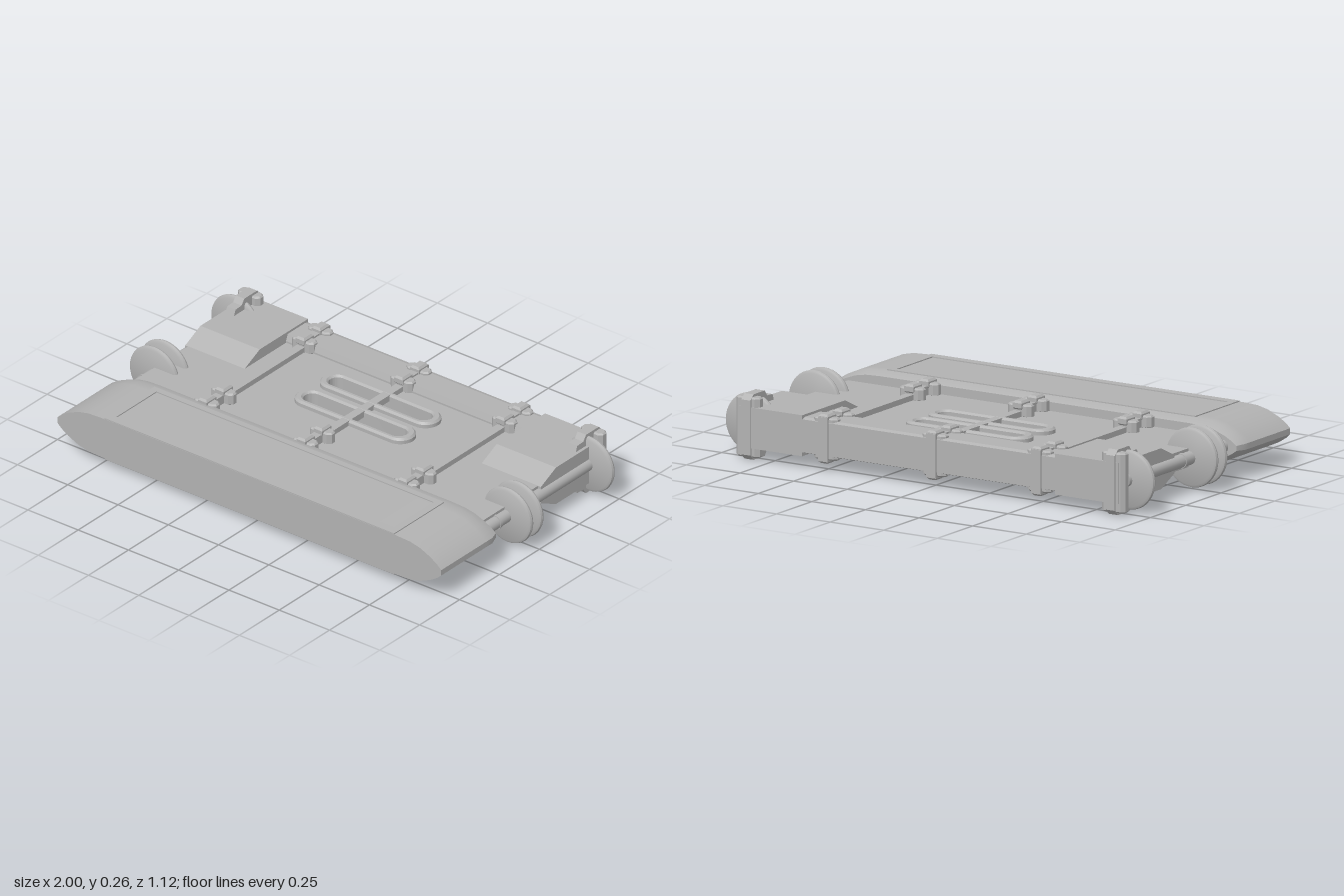
import * as THREE from 'three';
import { toCreasedNormals } from 'three/addons/utils/BufferGeometryUtils.js';

const MID = 0.1375; // height of the horizontal symmetry plane

export function createModel() {
  const model = new THREE.Group();
  const gray = new THREE.MeshStandardMaterial({ color: 0xb2b2b2 });
  gray.name = 'plain gray';

  function add(name, geometry, x = 0, y = 0, z = 0) {
    const mesh = new THREE.Mesh(geometry, gray);
    mesh.name = name;
    mesh.position.set(x, y, z);
    model.add(mesh);
    return mesh;
  }
  const box = (name, x0, x1, y0, y1, z0, z1) =>
    add(name, new THREE.BoxGeometry(x1 - x0, y1 - y0, z1 - z0), (x0 + x1) / 2, (y0 + y1) / 2, (z0 + z1) / 2);
  const polygon = (pts) => new THREE.Shape(pts.map(([a, b]) => new THREE.Vector2(a, b)));

  // Plan outline (x, -z) raised from y0 to y1, with optional chamfer
  function slab(shape, y0, y1, bevel = 0) {
    const g = new THREE.ExtrudeGeometry(shape, {
      depth: y1 - y0 - 2 * bevel, curveSegments: 12, bevelEnabled: bevel > 0,
      bevelSize: bevel, bevelThickness: bevel, bevelOffset: -bevel, bevelSegments: 1,
    });
    g.rotateX(-Math.PI / 2);
    g.translate(0, y0 + bevel, 0);
    return toCreasedNormals(g, 0.5);
  }
  // Side outline (z, y offset from MID) widened along x and centred
  function sideProfile(upper, width) {
    const lower = upper.map(([z, y]) => [z, -y]).reverse();
    const g = new THREE.ExtrudeGeometry(polygon([...upper, ...lower]), { depth: width, bevelEnabled: false });
    g.translate(0, MID, -width / 2);
    g.rotateY(-Math.PI / 2);
    return g;
  }
  // Long slot outline
  function stadium(Type, cx, cy, halfLength, r) {
    const s = new Type(), a = halfLength - r;
    s.absarc(cx + a, cy, r, -Math.PI / 2, Math.PI / 2, false);
    s.absarc(cx - a, cy, r, Math.PI / 2, Math.PI * 1.5, false);
    s.closePath();
    return s;
  }
  const rect = (x0, x1, y0, y1) => polygon([[x0, y0], [x1, y0], [x1, y1], [x0, y1]]);

  // Front bumper: rounded ends, tapering toward its rear edge
  const half = [[0.73, 0.088], [0.8, 0.085], [0.85, 0.074], [0.9, 0.052], [0.935, 0.03], [0.955, 0.012]];
  const mirrorY = half.map(([x, y]) => [x, -y]).reverse();
  const right = [...half, ...mirrorY];
  const left = right.map(([x, y]) => [-x, -y]);
  const bumper = new THREE.ExtrudeGeometry(polygon([...right, ...left]), { depth: 0.36, steps: 9, bevelEnabled: false });
  const p = bumper.attributes.position;
  for (let i = 0; i < p.count; i++) {
    if (p.getZ(i) < 0.01) p.setXY(i, p.getX(i) * 0.985, p.getY(i) * 0.83);
  }
  bumper.computeVertexNormals();
  add('front bumper', toCreasedNormals(bumper, 0.45), 0, MID, 0.198);

  // Raised frames on the top and bottom of the bumper
  const frame = rect(-0.72, 0.72, -0.557, -0.245);
  frame.holes.push(rect(-0.69, 0.69, -0.52, -0.27));
  add('bumper top frame', slab(frame, 0.222, 0.23));
  add('bumper bottom frame', slab(frame, 0.045, 0.053));

  // Deck plate with two long openings and their rims
  const slotX = -0.012, slotZ = [-0.28, -0.122];
  const deck = rect(-0.87, 0.87, -0.21, 0.5);
  for (const z of slotZ) deck.holes.push(stadium(THREE.Path, slotX, -z, 0.25, 0.036));
  add('deck plate', slab(deck, 0.1, 0.175));
  for (const z of slotZ) {
    const rim = stadium(THREE.Shape, slotX, -z, 0.285, 0.062);
    rim.holes.push(stadium(THREE.Path, slotX, -z, 0.25, 0.036));
    add('slot rim', slab(rim, 0.08, 0.198, 0.008));
  }

  // Rear beam and front shoulder beam
  add('rear beam', sideProfile([[-0.553, 0.066], [-0.535, 0.072], [-0.425, 0.072], [-0.415, 0.045]], 1.2));

  // Lengthwise struts with clamps, above and below the deck
  const clampPlan = polygon([
    [-0.055, -0.01], [-0.04, -0.024], [0.04, -0.024], [0.055, -0.01],
    [0.055, 0.01], [0.04, 0.024], [-0.04, 0.024], [-0.055, 0.01],
  ]);
  const topClamp = slab(clampPlan, 0.17, 0.222, 0.006);
  const bottomClamp = slab(clampPlan, 0.053, 0.105, 0.006);
  const capPlan = rect(-0.022, 0.022, -0.03, 0.03);
  const topCap = slab(capPlan, 0.2, 0.236, 0.008);
  const bottomCap = slab(capPlan, 0.039, 0.075, 0.008);
  for (const x of [-0.505, -0.015, 0.49]) {
    for (const [y0, y1, z0, z1] of [[0.17, 0.197, -0.42, 0.2], [0.078, 0.105, -0.42, 0.2],
      [0.2, 0.217, -0.55, -0.42], [0.058, 0.075, -0.55, -0.42],
      [0.19, 0.212, 0.08, 0.2], [0.063, 0.085, 0.08, 0.2]]) {
      box('strut', x - 0.018, x + 0.018, y0, y1, z0, z1);
    }
    for (const z of [-0.526, -0.425, 0.08, 0.186]) {
      add('upper clamp', topClamp, x, 0, z);
      add('lower clamp', bottomClamp, x, 0, z);
      add('upper clamp cap', topCap, x, 0, z);
      add('lower clamp cap', bottomCap, x, 0, z);
    }
    box('rear strap', x - 0.022, x + 0.022, 0.05, 0.225, -0.56, -0.54);
  }

  // Parts repeated at both sides
  const cornerBlock = sideProfile([[-0.553, 0.082], [-0.25, 0.082], [-0.155, 0.037]], 0.295);
  const bracket = sideProfile([[-0.557, 0.11], [-0.535, 0.131], [-0.455, 0.131], [-0.438, 0.108], [-0.4, 0.106], [-0.39, 0.08]], 0.042);
  const cornerClamp = slab(clampPlan, 0.017, 0.258, 0.006);
  const wheelProfile = [[0, -0.013], [0.108, -0.013], [0.117, -0.008], [0.12, 0], [0.117, 0.008], [0.108, 0.013], [0, 0.013]];
  const wheel = toCreasedNormals(
    new THREE.LatheGeometry(wheelProfile.map(([r, h]) => new THREE.Vector2(r, h)), 40).rotateX(Math.PI / 2), 0.6);
  const rod = (r, length) => new THREE.CylinderGeometry(r, r, length, 20).rotateX(Math.PI / 2);
  for (const s of [-1, 1]) {
    add('corner block', cornerBlock, s * 0.737, 0, 0);
    add('corner bracket', bracket, s * 0.85, 0, 0);
    add('corner clamp', cornerClamp, s * 0.853, 0, -0.526);
    add('side rod', rod(0.027, 0.7), s * 0.876, MID, -0.15);
    for (const z of [0.115, -0.095]) add('rod collar', rod(0.03, 0.012), s * 0.876, MID, z);
    for (const z of [0.042, -0.022, -0.468]) add('wheel', wheel, s * 0.88, MID, z);
    add('wheel hub', rod(0.05, 0.06), s * 0.88, MID, 0.01);
  }
  return model;
}
